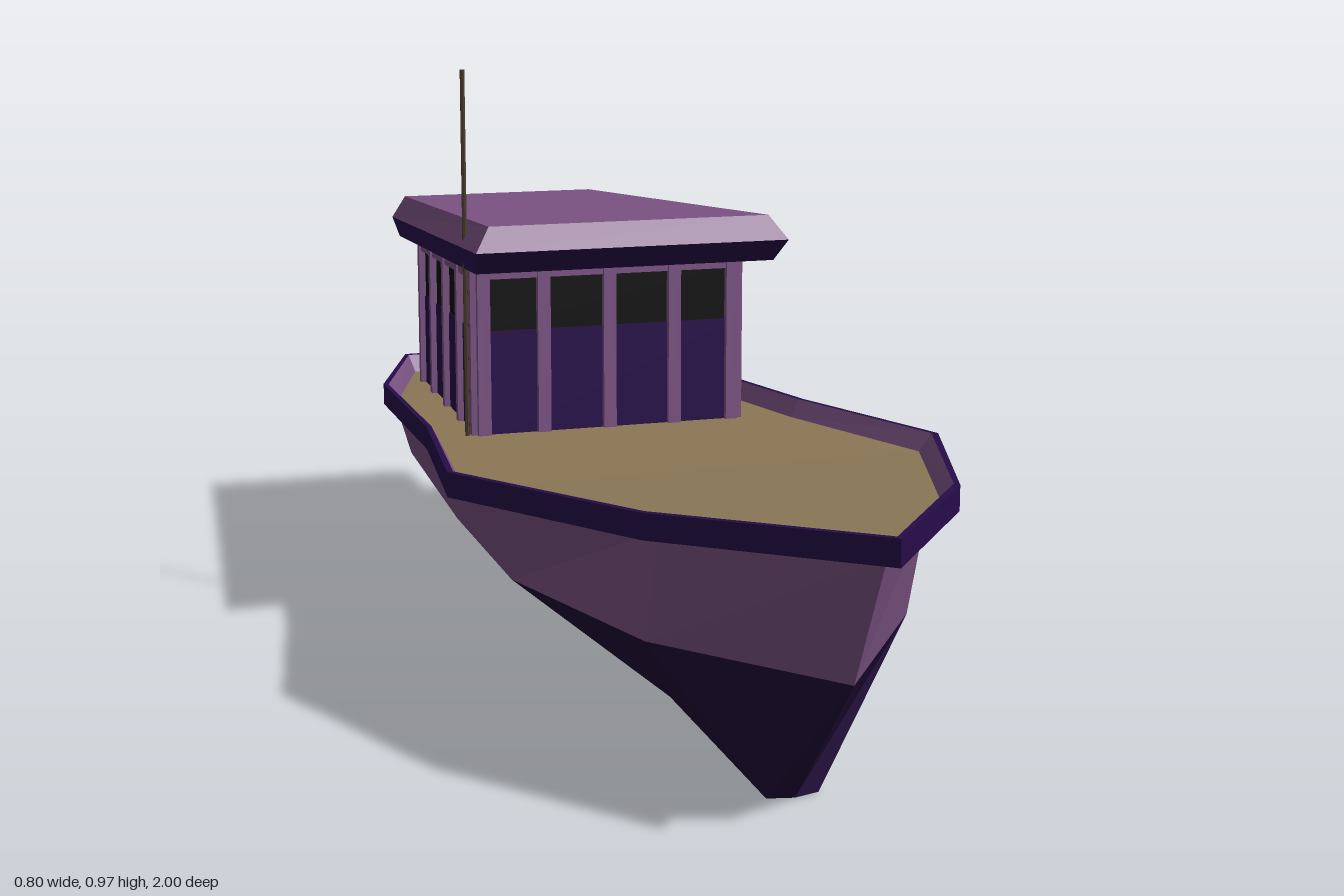
import * as THREE from 'three';

const mat = (color) => new THREE.MeshStandardMaterial({ color, flatShading: true, roughness: 0.9 });
const lilac = mat(0x7d5485), plum = mat(0x260c4a), keelDark = mat(0x200a38), sand = mat(0x8c7857);
const glass = mat(0x0d0d0d), rope = mat(0xb86c0c), wood = mat(0x4a3c2c);

function add(parent, geometry, material, name) {
  const mesh = new THREE.Mesh(geometry, material);
  mesh.name = name;
  parent.add(mesh);
  return mesh;
}

// Skin between closed rings (lowest first, counterclockwise from above), with optional caps
function loft(rings, capBottom = false, capTop = false) {
  const pos = [];
  const quad = (a, b, c, d) => pos.push(...a, ...b, ...c, ...a, ...c, ...d);
  const n = rings[0].length;
  for (let r = 0; r < rings.length - 1; r++) {
    for (let i = 0; i < n; i++) {
      const j = (i + 1) % n;
      quad(rings[r][i], rings[r][j], rings[r + 1][j], rings[r + 1][i]);
    }
  }
  const cap = (ring, up) => {
    for (let k = 0; k < n / 2; k++) {
      const q = [ring[k], ring[k + 1], ring[n - k - 1], ring[(n - k) % n]];
      quad(...(up ? q : q.reverse()));
    }
  };
  if (capBottom) cap(rings[0], false);
  if (capTop) cap(rings[rings.length - 1], true);
  const g = new THREE.BufferGeometry();
  g.setAttribute('position', new THREE.Float32BufferAttribute(pos, 3));
  g.computeVertexNormals();
  return g;
}

// Full outline from its bow-to-stern half
const mirror = (half) => [...half, ...half.slice(1, -1).reverse().map(([x, y, z]) => [-x, y, z])];

function buildHull() {
  const hull = new THREE.Group();
  hull.name = 'hull';
  const bottom = mirror([[0, 0, 0.67], [0.04, 0, 0.66], [0.05, 0.025, 0.28], [0.06, 0.045, -0.12],
    [0.065, 0.07, -0.6], [0.05, 0.12, -0.95], [0, 0.12, -0.96]]);
  const knuckle = mirror([[0, 0.23, 0.865], [0.2, 0.23, 0.6], [0.295, 0.23, 0.25], [0.285, 0.23, -0.12],
    [0.25, 0.23, -0.6], [0.15, 0.23, -0.97], [0, 0.23, -1]]);
  const sheer = mirror([[0, 0.43, 0.96], [0.2, 0.405, 0.66], [0.365, 0.375, 0.27], [0.315, 0.355, -0.12],
    [0.28, 0.33, -0.6], [0.16, 0.305, -0.965], [0, 0.305, -0.975]]);
  const rail = mirror([[0, 0.428, 1], [0.235, 0.403, 0.69], [0.4, 0.375, 0.28], [0.335, 0.353, -0.12],
    [0.3, 0.327, -0.6], [0.17, 0.303, -0.985], [0, 0.303, -0.985]]);
  const inset = (s, lift) => rail.map(([x, y, z]) => [x * s, y + lift, z * (1 - (1 - s) * 0.5)]);
  const railTop = inset(1, 0.038), lip = inset(0.975, 0.038), deck = inset(0.93, 0.008);

  add(hull, loft([bottom, knuckle], true), keelDark, 'lowerHull');
  add(hull, loft([knuckle, sheer]), lilac, 'upperHull');
  add(hull, loft([sheer, rail, railTop, lip]), plum, 'rail');
  add(hull, loft([lip, deck]), lilac, 'bulwarkInside');
  add(hull, loft([deck], false, true), sand, 'deck');
  return hull;
}

// Cabin heights follow the slope of the deck
const base = (z) => 0.391 + 0.07 * z;

// Box laid along a wall: u across (0..1), v above the floor, d out from the wall
function wallBox([ax, az], [bx, bz], u0, u1, v0, v1, d) {
  const len = Math.hypot(bx - ax, bz - az);
  const nx = -(bz - az) / len, nz = (bx - ax) / len;
  const g = new THREE.BoxGeometry(1, 1, 1).toNonIndexed();
  const p = g.attributes.position;
  for (let i = 0; i < p.count; i++) {
    const u = p.getX(i) < 0 ? u0 : u1;
    const out = p.getZ(i) < 0 ? -0.015 : d;
    const z = az + (bz - az) * u + nz * out;
    p.setXYZ(i, ax + (bx - ax) * u + nx * out, base(z) + (p.getY(i) < 0 ? v0 : v1), z);
  }
  g.computeVertexNormals();
  return g;
}

function buildCabin() {
  const cabin = new THREE.Group();
  cabin.name = 'cabin';
  const fl = [-0.23, -0.16], fr = [0.23, -0.16], br = [0.18, -0.815], bl = [-0.18, -0.815];
  const even = [0, 0.25, 0.5, 0.75, 1];
  const walls = [
    { name: 'front', a: fl, b: fr, posts: even },
    { name: 'leftSide', a: fr, b: br, posts: [0, 0.28, 0.55, 0.78, 1], door: [0.02, 0.27] },
    { name: 'back', a: br, b: bl, posts: even },
    { name: 'rightSide', a: bl, b: fl, posts: even },
  ];
  for (const { name, a, b, posts, door } of walls) {
    const wall = new THREE.Group();
    wall.name = name + 'Wall';
    cabin.add(wall);
    const half = 0.011 / Math.hypot(b[0] - a[0], b[1] - a[1]);
    add(wall, wallBox(a, b, 0, 1, -0.04, 0.155, 0), plum, 'lowerPanel');
    add(wall, wallBox(a, b, 0, 1, 0.155, 0.25, -0.002), glass, 'windows');
    add(wall, wallBox(a, b, 0, 1, 0.243, 0.28, 0.006), lilac, 'header');
    if (door) add(wall, wallBox(a, b, ...door, -0.04, 0.25, 0.003), glass, 'doorway');
    for (const t of posts) {
      const u = THREE.MathUtils.clamp(t, half, 1 - half);
      add(wall, wallBox(a, b, u - half, u + half, -0.04, 0.275, 0.01), lilac, 'post');
    }
  }

  // Overhanging roof with a bevelled upper edge
  const roofRing = (xf, zf, xb, zb, v) =>
    [[-xf, zf], [xf, zf], [xb, zb], [-xb, zb]].map(([x, z]) => [x, base(z) + v, z]);
  const under = roofRing(0.255, -0.05, 0.2, -0.935, 0.263);
  const edge = roofRing(0.265, -0.005, 0.21, -0.955, 0.3);
  const top = roofRing(0.238, -0.03, 0.188, -0.935, 0.341);
  add(cabin, loft([under, edge], true), plum, 'roofUnderside');
  add(cabin, loft([edge, top], false, true), lilac, 'roofTop');

  // Life rings hung along one roof edge
  for (const [x, y, z] of [[0.258, 0.63, -0.425], [0.248, 0.617, -0.578], [0.236, 0.603, -0.73]]) {
    const ring = add(cabin, new THREE.TorusGeometry(0.048, 0.011, 8, 24), rope.clone(), 'lifeRing');
    ring.material.flatShading = false;
    ring.position.set(x, y, z);
    ring.rotation.y = Math.PI / 2 + 0.06;
  }
  cabin.position.x = -0.01;
  cabin.rotation.y = -0.025;
  return cabin;
}

export function createModel() {
  const boat = new THREE.Group();
  boat.name = 'boat';
  boat.add(buildHull(), buildCabin());
  const mast = add(boat, new THREE.CylinderGeometry(0.004, 0.004, 0.62, 6), wood, 'mast');
  mast.position.set(-0.252, 0.66, -0.172);
  return boat;
}
